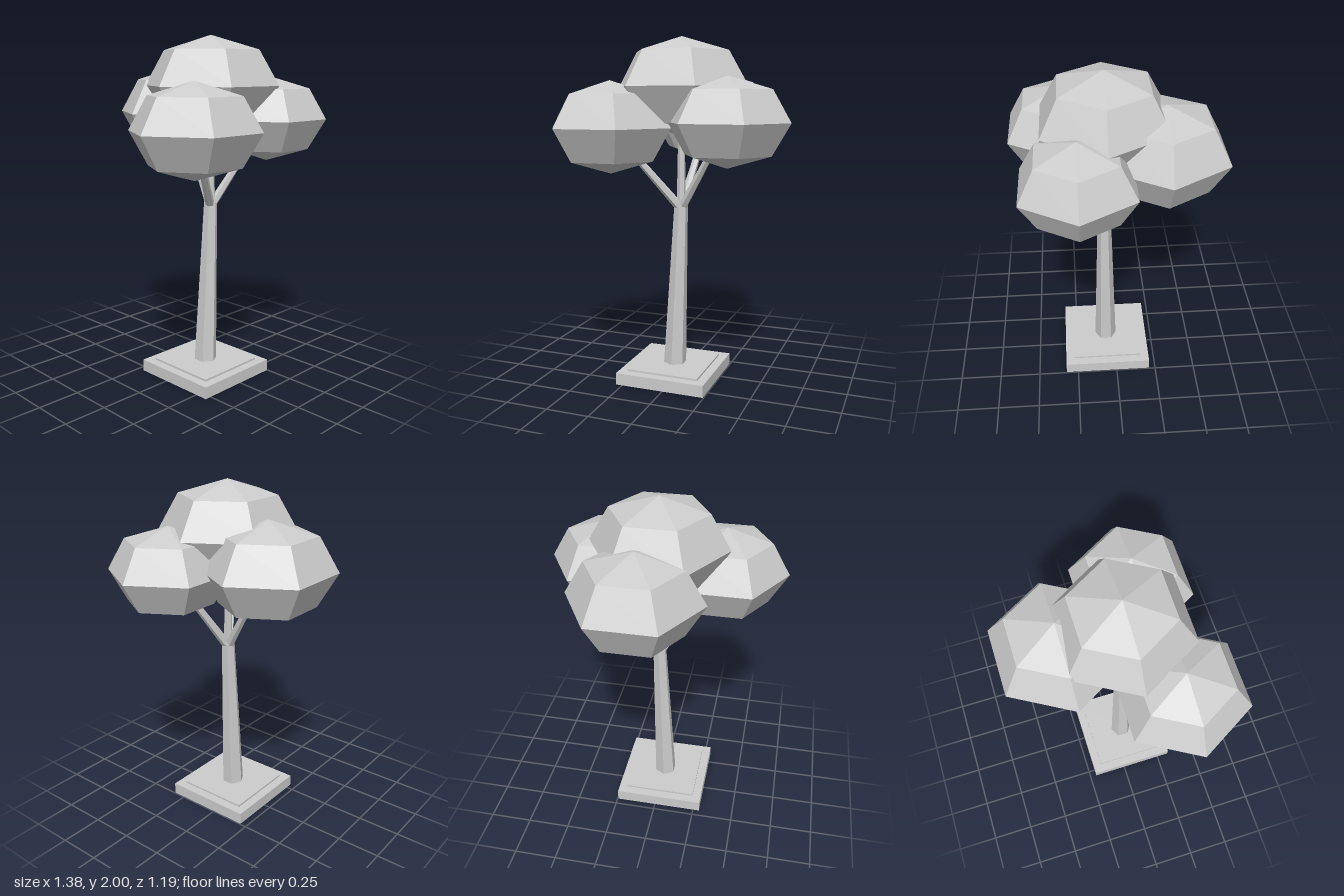
import * as THREE from 'three';

export function createModel() {
  const group = new THREE.Group();
  const grey = new THREE.MeshStandardMaterial({ color: 0xcccccc, flatShading: true });
  grey.name = 'light grey';

  function add(name, geometry, x, y, z) {
    const mesh = new THREE.Mesh(geometry, grey);
    mesh.name = name;
    mesh.position.set(x, y, z);
    group.add(mesh);
    return mesh;
  }

  // Tapered hexagonal limb whose rings stay level when upright, turned along its axis otherwise
  function limb(name, from, to, r0, r1) {
    const axis = to.clone().sub(from);
    const mid = from.clone().add(to).multiplyScalar(0.5);
    const mesh = add(name, new THREE.CylinderGeometry(r1, r0, axis.length(), 6), mid.x, mid.y, mid.z);
    mesh.quaternion.setFromUnitVectors(new THREE.Vector3(0, 1, 0), axis.normalize());
  }

  // Stepped square base
  add('baseSlab', new THREE.BoxGeometry(0.535, 0.07, 0.535), -0.022, 0.035, 0.058);
  add('baseStep', new THREE.BoxGeometry(0.43, 0.012, 0.43), -0.022, 0.076, 0.058);

  // Slightly leaning trunk
  limb('trunk', new THREE.Vector3(-0.02, 0.075, 0.058), new THREE.Vector3(0.02, 1.05, 0.06), 0.068, 0.04);

  // Foliage: name, centre x, y, z, radius, half height
  const crowns = [
    ['top', 0.022, 1.72, 0.056, 0.392, 0.28],
    ['right', -0.325, 1.495, 0.275, 0.365, 0.26],
    ['left', 0.339, 1.527, 0.21, 0.346, 0.248],
    ['back', 0.086, 1.557, -0.265, 0.38, 0.272],
  ];
  const fork = new THREE.Vector3(0.02, 1.02, 0.06);
  for (const [side, x, y, z, r, h] of crowns) {
    const foliage = new THREE.SphereGeometry(r, 6, 4);
    foliage.scale(1, h / r, 1);
    add(side + 'Foliage', foliage, x, y, z);

    // Branch from the fork into the foliage
    const tip = fork.clone().lerp(new THREE.Vector3(x, y, z), 0.85);
    limb(side + 'Branch', fork, tip, 0.027, 0.017);
  }

  return group;
}
